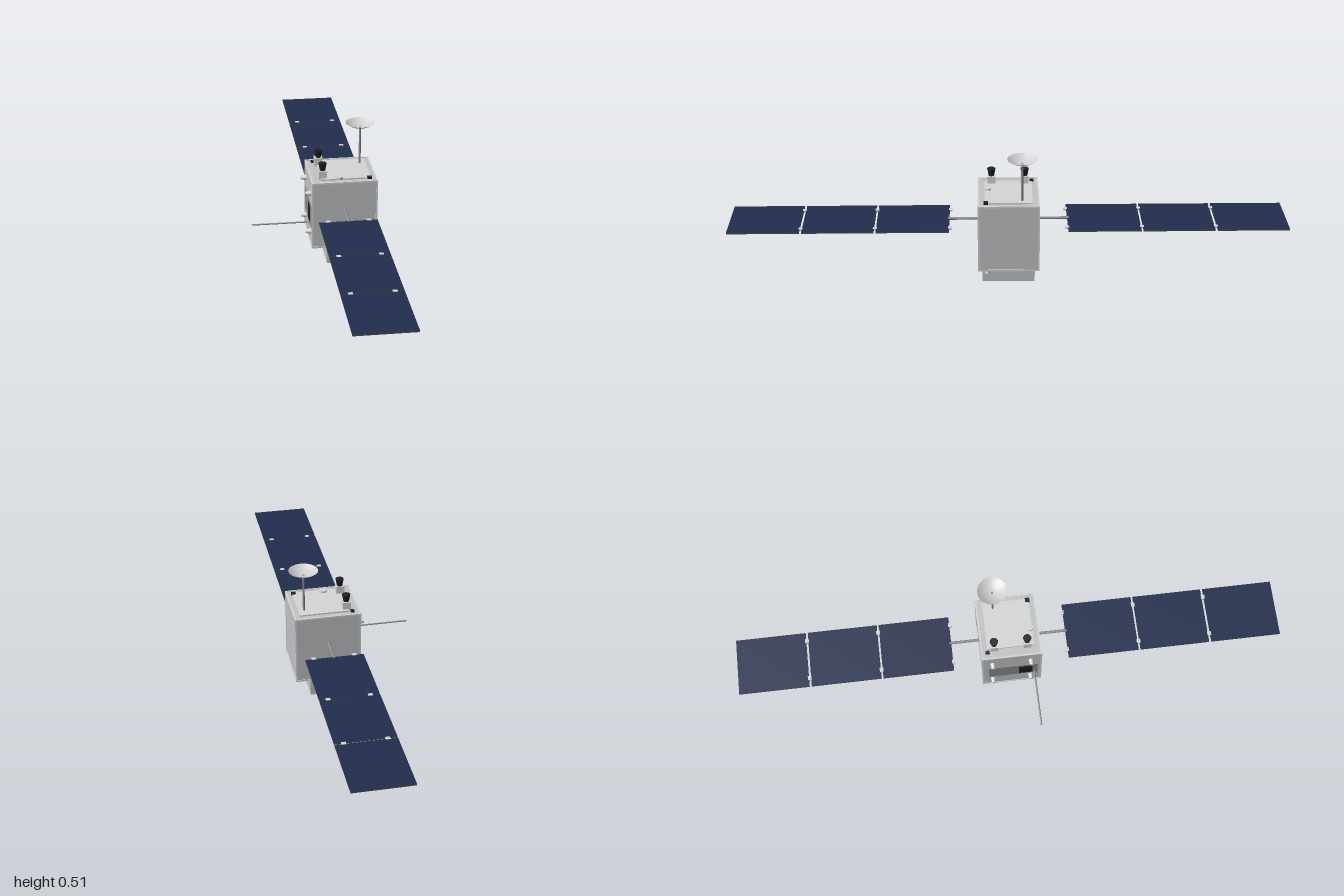
import * as THREE from 'three';

const mat = (name, color, side = THREE.FrontSide) => {
  const m = new THREE.MeshStandardMaterial({ color, side });
  m.name = name;
  return m;
};

export function createModel() {
  const root = new THREE.Group();
  root.name = 'satellite';
  const body = mat('bodyGrey', 0xc2c4c7);
  const trim = mat('frameLightGrey', 0xd6d8d8);
  const dishMat = mat('dishGrey', 0xd2d2d2, THREE.DoubleSide);
  const metal = mat('boomGrey', 0x8e9093);
  const plateMat = mat('plateGrey', 0x8a8c8e);
  const black = mat('black', 0x1f1f20);
  const cells = mat('solarBlue', 0x222d4e);
  const backing = mat('panelBacking', 0x4c4c4c);

  const add = (name, geometry, material, x, y, z) => {
    const m = new THREE.Mesh(geometry, material);
    m.name = name;
    m.position.set(x, y, z);
    root.add(m);
    return m;
  };
  // Box given by its lower and upper limits on each axis
  const box = (name, material, [x0, x1], [y0, y1], [z0, z1]) =>
    add(name, new THREE.BoxGeometry(x1 - x0, y1 - y0, z1 - z0), material,
      (x0 + x1) / 2, (y0 + y1) / 2, (z0 + z1) / 2);
  const cyl = (name, material, rTop, rBottom, h, x, y, z, sides = 20) =>
    add(name, new THREE.CylinderGeometry(rTop, rBottom, h, sides), material, x, y, z);

  // Main body with a raised frame along its twelve edges
  const X = [-0.018, 0.222], Y = [0.088, 0.347], Z = [-0.11, 0.11];
  const t = 0.006, inset = 0.002;
  const shrink = ([a, b], d) => [a + d, b - d];
  const ends = ([a, b]) => [[a, a + t], [b - t, b]];
  box('body', body, shrink(X, inset), shrink(Y, inset), shrink(Z, inset));
  for (const i of [0, 1]) for (const j of [0, 1]) {
    box('frameBarX', trim, shrink(X, t), ends(Y)[i], ends(Z)[j]);
    box('frameBarY', trim, ends(X)[i], Y, ends(Z)[j]);
    box('frameBarZ', trim, ends(X)[i], ends(Y)[j], shrink(Z, t));
  }

  // Lower equipment bay with its underside fittings
  box('lowerBay', body, [0.04, 0.167], [0.017, 0.09], [-0.095, 0.095]);
  box('lowerBlock', trim, [0.045, 0.077], [0, 0.017], [-0.032, 0.032]);
  box('lowerSensorStrip', black, [0.112, 0.132], [0.011, 0.017], [-0.085, 0.085]);
  cyl('mainNozzle', trim, 0.005, 0.01, 0.026, 0.187, 0.077, 0.076);

  // Top deck
  box('topPlate', trim, [0.02, 0.2], [0.345, 0.35], [-0.085, 0.085]);
  box('topPad', black, [0.003, 0.015], [0.345, 0.351], [-0.093, -0.078]);
  box('topPad', black, [0.187, 0.203], [0.345, 0.352], [0.073, 0.089]);
  cyl('topDisc', trim, 0.014, 0.014, 0.009, 0.086, 0.351, 0.075, 24);
  for (const z of [-0.06, 0.06]) {
    box('trackerBase', trim, [0.012, 0.041], [0.345, 0.377], [z - 0.014, z + 0.014]);
    cyl('trackerHood', black, 0.015, 0.01, 0.027, 0.027, 0.3905, z);
  }

  // Dish antenna on its mast
  const dishX = 0.179, dishZ = -0.048;
  cyl('dishMast', metal, 0.004, 0.004, 0.148, dishX, 0.419, dishZ, 12);
  const profile = [];
  for (let i = 0; i <= 8; i++) {
    const r = 0.053 * i / 8;
    profile.push(new THREE.Vector2(r, 0.019 * (i / 8) ** 2));
  }
  add('dish', new THREE.LatheGeometry(profile, 36), dishMat, dishX, 0.491, dishZ);

  // Right face: thrusters, service plate and rod antenna
  for (const y of [0.14, 0.292]) for (const z of [-0.07, 0.07]) {
    const n = cyl('sideThruster', trim, 0.0065, 0.01, 0.02, -0.026, y, z);
    n.rotation.z = Math.PI / 2;
  }
  box('servicePlate', plateMat, [-0.0195, -0.014], [0.165, 0.25], [-0.085, 0.095]);
  box('serviceScreen', black, [-0.022, -0.015], [0.178, 0.24], [0.025, 0.075]);
  const rod = cyl('rodAntenna', metal, 0.0028, 0.0028, 0.217, -0.1245, 0.184, 0.083, 10);
  rod.rotation.z = Math.PI / 2;

  // Solar wings: three hinged panels on a boom at each end
  const panelFaces = [backing, backing, cells, backing, backing, backing];
  const spans = [[0.212, 0.472], [0.479, 0.735], [0.743, 1]];
  for (const s of [-1, 1]) {
    const span = ([a, b]) => (s > 0 ? [a, b] : [-b, -a]);
    const boom = cyl('wingBoom', metal, 0.005, 0.005, 0.112, 0.102, 0.241, s * 0.162, 12);
    boom.rotation.x = Math.PI / 2;
    for (const p of spans) {
      box('solarPanel', panelFaces, [-0.005, 0.205], [0.2365, 0.2415], span(p));
      for (const x of [0.028, 0.174]) {
        box('panelHinge', trim, [x - 0.008, x + 0.008], [0.2355, 0.2425],
          span([p[0] - 0.01, p[0] + 0.004]));
      }
    }
  }
  return root;
}
